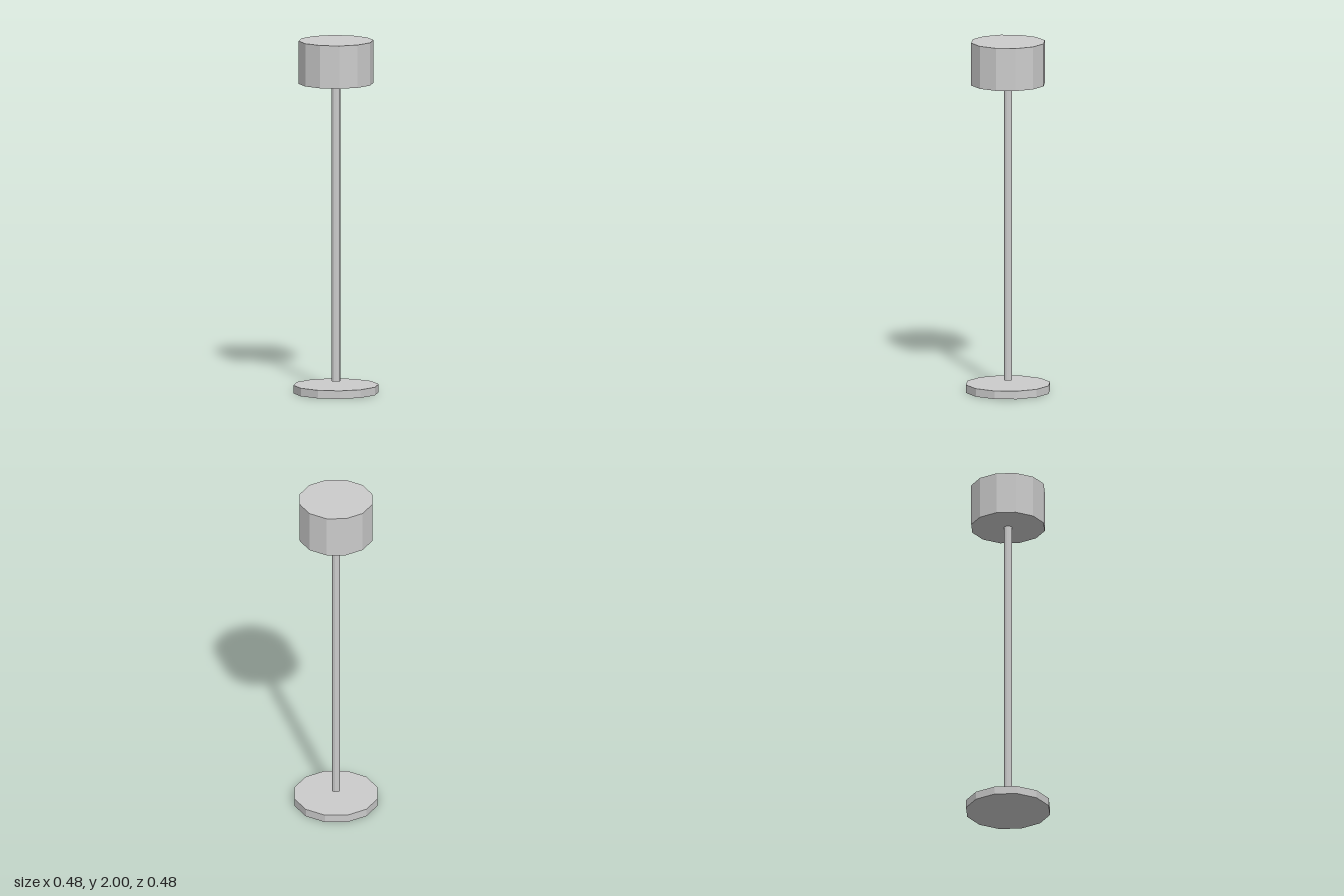
import * as THREE from 'three';

export function createModel() {
  const group = new THREE.Group();
  const grey = new THREE.MeshStandardMaterial({ color: 0xcccccc, flatShading: true });
  grey.name = 'lightGrey';

  // Upright faceted cylinder spanning two heights
  const drum = (name, radius, bottom, top, sides) => {
    const mesh = new THREE.Mesh(
      new THREE.CylinderGeometry(radius, radius, top - bottom, sides), grey);
    mesh.name = name;
    mesh.position.y = (bottom + top) / 2;
    group.add(mesh);
  };

  drum('base', 0.241, 0, 0.046, 12);
  drum('pole', 0.024, 0.066, 1.757, 12); // floats slightly above the base
  drum('shade', 0.211, 1.757, 2, 12);

  return group;
}
